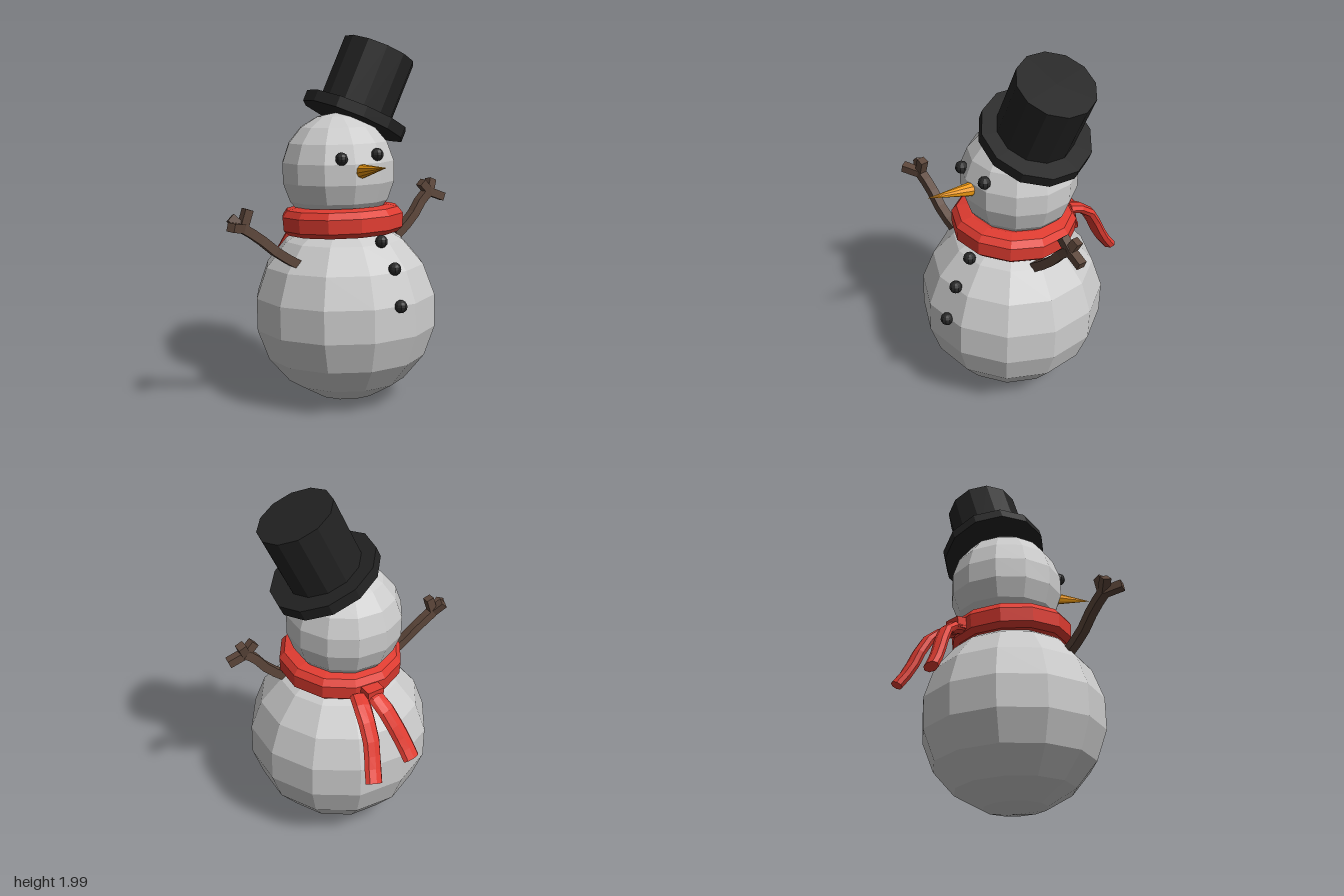
import * as THREE from 'three';

const V = (p) => new THREE.Vector3(...p);
const UP = new THREE.Vector3(0, 1, 0);
const mat = (color) => new THREE.MeshStandardMaterial({ color, flatShading: true, side: THREE.DoubleSide });

// Sweeps a closed section along a smooth path; 'wide' is the direction of half-width a.
function sweep(path, steps, sides, a, b, wide, turn = 0) {
  const pts = new THREE.CatmullRomCurve3(path.map(V));
  const pos = [], idx = [];
  for (let i = 0; i <= steps; i++) {
    const p = pts.getPoint(i / steps), t = pts.getTangent(i / steps);
    const side = V(wide).addScaledVector(t, -V(wide).dot(t)).normalize();
    const n = t.clone().cross(side);
    for (let j = 0; j < sides; j++) {
      const ang = turn + (j / sides) * Math.PI * 2;
      const q = p.clone().addScaledVector(side, a * Math.cos(ang)).addScaledVector(n, b * Math.sin(ang));
      pos.push(q.x, q.y, q.z);
    }
  }
  for (let j = 0; j < sides; j++) {
    const k = (j + 1) % sides;
    for (let i = 0; i < steps; i++) {
      const r = i * sides, s = r + sides;
      idx.push(r + j, r + k, s + j, r + k, s + k, s + j);
    }
    const e = steps * sides;
    if (j > 0 && j < sides - 1) idx.push(0, k, j, e, e + j, e + k);
  }
  const g = new THREE.BufferGeometry();
  g.setAttribute('position', new THREE.Float32BufferAttribute(pos, 3));
  g.setIndex(idx);
  g.computeVertexNormals();
  return g;
}

export function createModel() {
  const root = new THREE.Group();
  const snow = mat(0xcccccc), black = mat(0x222222), coal = mat(0x262626);
  const red = mat(0xe03c31), orange = mat(0xf09a10), wood = mat(0x5c463a);

  const add = (name, geometry, material, p = [0, 0, 0], parent = root) => {
    const m = new THREE.Mesh(geometry, material);
    m.name = name;
    m.position.set(...p);
    parent.add(m);
    return m;
  };

  // Snowballs, leaning slightly
  const ball = (name, r, p) => {
    add(name, new THREE.SphereGeometry(r, 12, 9).rotateY(0.16), snow, p).rotation.z = 0.035;
  };
  ball('body', 0.505, [0.055, 0.507, -0.095]);
  ball('head', 0.315, [-0.005, 1.262, -0.09]);

  // Coal eyes and buttons
  const lump = new THREE.SphereGeometry(0.034, 10, 8);
  add('leftEye', lump, coal, [0.29, 1.372, -0.12]);
  add('rightEye', lump, coal, [0.245, 1.357, 0.083]);
  [[0.372, 0.925, -0.083], [0.48, 0.797, -0.083], [0.543, 0.612, -0.072]]
    .forEach((p, i) => add('button' + (i + 1), lump, coal, p));

  // Carrot nose
  const base = V([0.288, 1.29, -0.021]), tip = V([0.54, 1.335, 0.033]);
  const nose = add('nose', new THREE.ConeGeometry(0.037, base.distanceTo(tip), 10), orange,
    base.clone().lerp(tip, 0.5).toArray());
  nose.quaternion.setFromUnitVectors(UP, tip.clone().sub(base).normalize());

  // Top hat, tipped backwards
  const hat = new THREE.Group();
  hat.name = 'hat';
  hat.position.set(0, 1.553, -0.203);
  hat.quaternion.setFromUnitVectors(UP, V([0.07, 0.9, -0.41]).normalize());
  root.add(hat);
  add('brim', new THREE.CylinderGeometry(0.295, 0.295, 0.062, 12), black, [0, 0, 0], hat);
  add('crown', new THREE.CylinderGeometry(0.206, 0.206, 0.38, 12), black, [0, 0.194, 0.01], hat);

  // Scarf: neck ring, knot and two tails
  const ring = [[0.22, -0.07], [0.3, -0.072], [0.332, -0.045], [0.336, 0.03], [0.31, 0.065], [0.25, 0.078], [0.2, 0.06], [0.22, -0.07]];
  const scarf = add('scarf', new THREE.LatheGeometry(ring.map((p) => new THREE.Vector2(...p)), 12), red, [0.035, 1.0, -0.09]);
  scarf.rotation.set(0, 0.16, 0.065, 'ZYX');
  add('scarfKnot', new THREE.BoxGeometry(0.07, 0.06, 0.1), red, [-0.312, 0.973, -0.13]).rotation.z = 0.1;
  const tails = [
    [[-0.29, 0.96, -0.2], [-0.39, 0.92, -0.235], [-0.47, 0.8, -0.25], [-0.51, 0.7, -0.27], [-0.565, 0.61, -0.3]],
    [[-0.29, 0.96, -0.13], [-0.38, 0.93, -0.12], [-0.45, 0.82, -0.085], [-0.495, 0.72, -0.055], [-0.54, 0.64, -0.04]],
  ];
  tails.forEach((path, i) => add('scarfTail' + (i + 1), sweep(path, 6, 8, 0.05, 0.03, [0, 0, 1]), red));

  // Twig arms, each with three stubby fingers
  const twig = (name, path, r, parent) =>
    add(name, sweep(path, path.length > 2 ? 5 : 1, 4, r, r, [1, 0, 0.1], Math.PI / 4), wood, [0, 0, 0], parent);
  const arm = (name, path, fingers) => {
    const g = new THREE.Group();
    g.name = name;
    root.add(g);
    twig('branch', path, 0.034, g);
    const wrist = path[path.length - 1];
    fingers.forEach((f, i) => twig('finger' + (i + 1), [wrist, f], 0.032, g));
  };
  arm('rightArm',
    [[0.118, 0.8, 0.26], [0.108, 0.87, 0.38], [0.085, 0.97, 0.5], [0.075, 1.025, 0.585]],
    [[0.118, 1.045, 0.68], [0.04, 1.08, 0.635], [0.08, 1.12, 0.555]]);
  arm('leftArm',
    [[0.17, 0.9, -0.36], [0.175, 0.99, -0.47], [0.175, 1.09, -0.55], [0.18, 1.125, -0.595]],
    [[0.2, 1.09, -0.685], [0.165, 1.19, -0.625], [0.175, 1.18, -0.54]]);

  return root;
}
